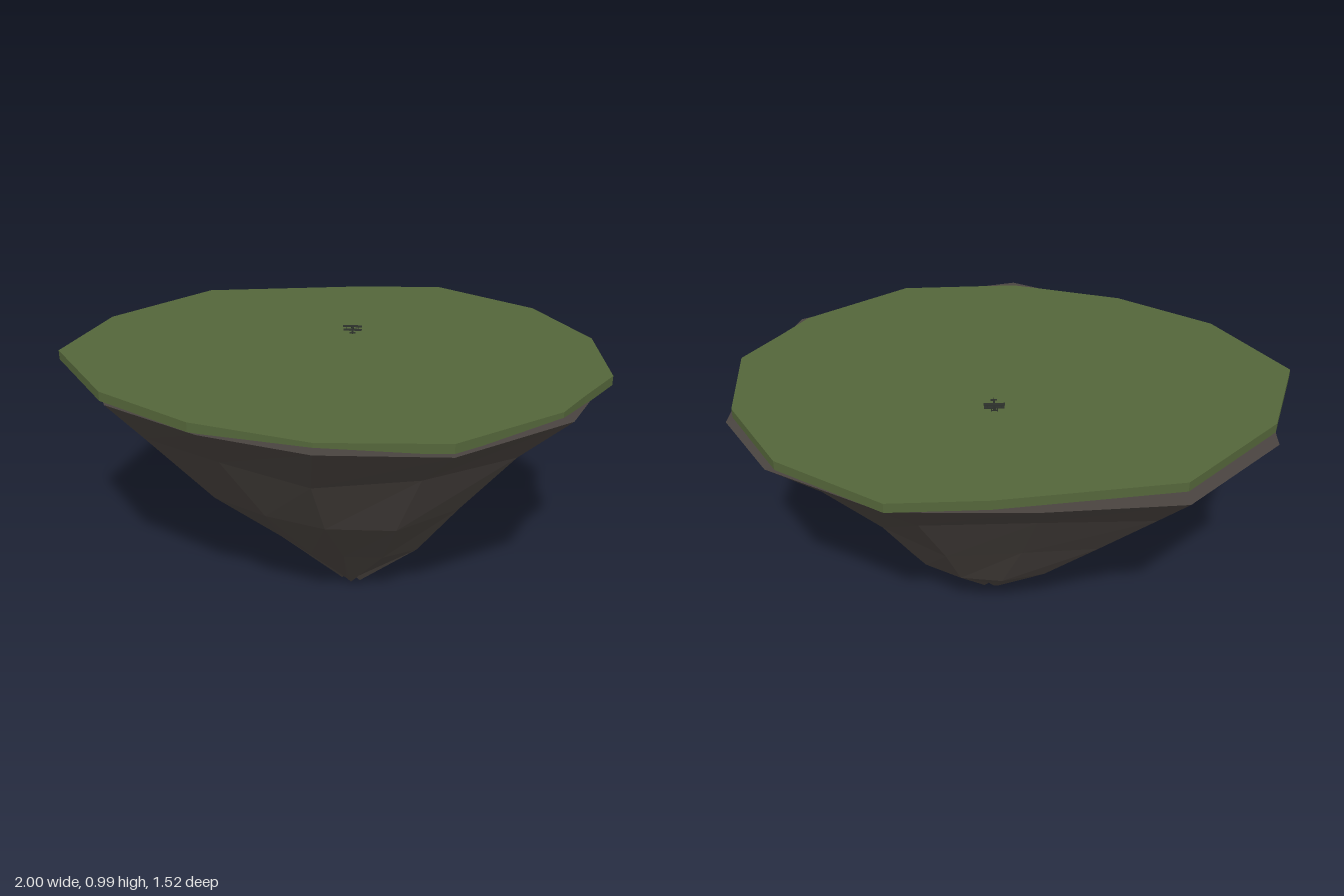
import * as THREE from 'three';

export function createModel() {
  const group = new THREE.Group();
  const mat = (name, color) => {
    const m = new THREE.MeshStandardMaterial({ color, flatShading: true });
    m.name = name;
    return m;
  };
  const grass = mat('grass green', 0x54663a);
  const rock = mat('rock brown', 0x4a4440);
  const dark = mat('dark metal', 0x2b302a);

  const add = (parent, name, geometry, material, x = 0, y = 0, z = 0) => {
    const m = new THREE.Mesh(geometry, material);
    m.name = name;
    m.position.set(x, y, z);
    parent.add(m);
    return m;
  };

  // Flat grass slab
  const outline = [
    [-1, -0.02], [-0.87, -0.37], [-0.52, -0.69], [0.1, -0.755], [0.43, -0.755],
    [0.79, -0.51], [0.97, -0.19], [0.985, 0.16], [0.86, 0.33], [0.77, 0.46],
    [0.4, 0.7], [-0.04, 0.705], [-0.45, 0.57], [-0.78, 0.34],
  ];
  const slab = new THREE.Shape(outline.map(([x, z]) => new THREE.Vector2(x, -z)));
  const slabGeo = new THREE.ExtrudeGeometry(slab, { depth: 0.035, bevelEnabled: false });
  slabGeo.rotateX(-Math.PI / 2);
  add(group, 'grassTop', slabGeo, grass, 0, 0.935, 0);

  // Rock rim: x, y, z around the island
  const rim = [
    [-0.89, 0.935, -0.02], [-0.87, 0.925, -0.43], [-0.52, 0.92, -0.74], [-0.04, 0.925, -0.765],
    [0.43, 0.925, -0.74], [0.83, 0.91, -0.47], [0.995, 0.92, -0.195], [0.95, 0.925, 0.15],
    [0.8, 0.95, 0.49], [0.4, 0.93, 0.715], [-0.04, 0.955, 0.76], [-0.42, 0.935, 0.59],
    [-0.77, 0.91, 0.32],
  ];
  const n = rim.length;
  // Lower rings: height, x scale, z scale, centre x, centre z
  const levels = [
    [0.75, 0.83, 0.775, -0.02, -0.01],
    [0.48, 0.57, 0.55, 0.01, 0],
    [0.235, 0.33, 0.315, 0.065, -0.025],
    [0.015, 0.042, 0.045, 0.08, -0.01],
  ];
  const rings = [rim];
  levels.forEach(([y, sx, sz, cx, cz], k) => {
    rings.push(rim.map(([x, , z], i) => {
      const jitter = Math.sin(i * 2.4 + k * 1.7) * 0.012;
      return [cx + x * sx, Math.max(0, y + jitter), cz + z * sz];
    }));
  });
  const pos = [];
  const tri = (a, b, c) => pos.push(...a, ...b, ...c);
  for (let i = 0; i < n; i++) {
    const j = (i + 1) % n;
    for (let k = 0; k < rings.length - 1; k++) {
      const a = rings[k], b = rings[k + 1];
      tri(a[i], a[j], b[j]);
      tri(a[i], b[j], b[i]);
    }
    const last = rings[rings.length - 1];
    tri([0, 0.93, 0], rim[j], rim[i]);
    tri([0.08, 0.035, -0.01], last[i], last[j]);
  }
  const rockGeo = new THREE.BufferGeometry();
  rockGeo.setAttribute('position', new THREE.Float32BufferAttribute(pos, 3));
  rockGeo.computeVertexNormals();
  add(group, 'rockBase', rockGeo, rock);

  // Tiny biplane parked on the grass, nose towards -z
  const plane = new THREE.Group();
  plane.name = 'tinyBiplane';
  plane.position.set(0.073, 0.97, -0.235);
  group.add(plane);
  const box = (name, w, h, d, x, y, z) =>
    add(plane, name, new THREE.BoxGeometry(w, h, d), dark, x, y, z);
  const body = new THREE.CylinderGeometry(0.006, 0.003, 0.066, 6);
  body.rotateX(-Math.PI / 2);
  add(plane, 'fuselage', body, dark, 0, 0.011, 0.012);
  box('lowerWing', 0.07, 0.002, 0.016, 0, 0.008, 0);
  box('upperWing', 0.072, 0.002, 0.016, 0, 0.021, -0.003);
  box('tailPlane', 0.022, 0.002, 0.008, 0, 0.012, 0.041);
  box('tailFin', 0.002, 0.01, 0.008, 0, 0.015, 0.041);
  box('propeller', 0.018, 0.003, 0.002, 0, 0.011, -0.024);
  for (const s of [-1, 1]) {
    box('wingStrut', 0.002, 0.014, 0.002, s * 0.024, 0.0145, -0.002);
    box('wheel', 0.003, 0.007, 0.007, s * 0.01, 0.0035, -0.01);
  }
  return group;
}
